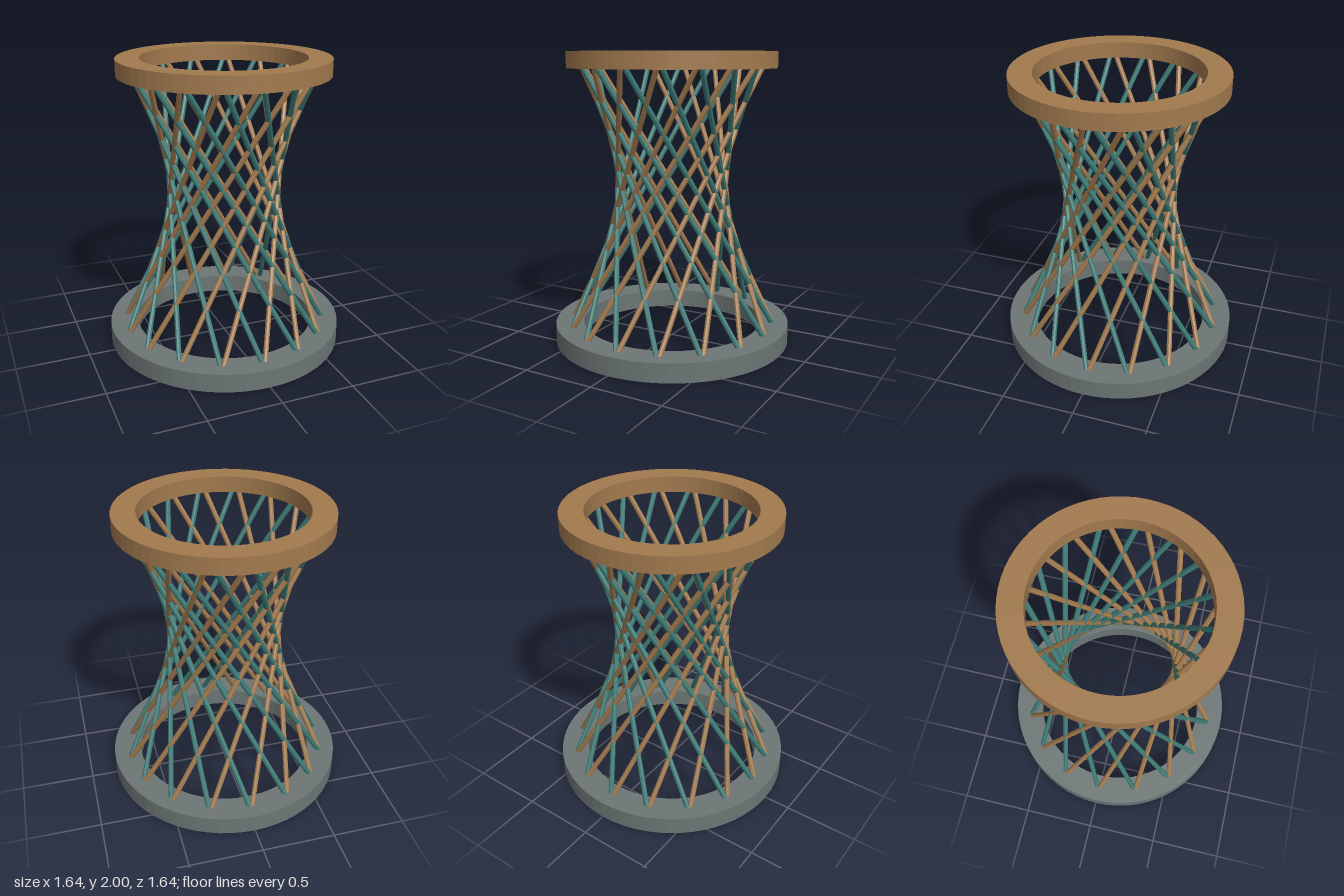
import * as THREE from 'three';

export function createModel() {
  const model = new THREE.Group();
  model.name = 'latticeStool';

  const mat = (name, color) => {
    const m = new THREE.MeshStandardMaterial({ color, flatShading: true });
    m.name = name;
    return m;
  };
  const wood = mat('warm wood', 0xa27a4e);
  const teal = mat('dark teal', 0x3c7974);
  const stone = mat('slate grey', 0x6c7575);

  // Flat ring with a rectangular cross-section
  function ring(name, inner, outer, y0, y1, material) {
    const profile = [[inner, y0], [outer, y0], [outer, y1], [inner, y1], [inner, y0]]
      .map(([r, y]) => new THREE.Vector2(r, y));
    const mesh = new THREE.Mesh(new THREE.LatheGeometry(profile, 64), material);
    mesh.name = name;
    model.add(mesh);
  }
  ring('baseRing', 0.625, 0.82, 0, 0.13, stone);
  ring('topRing', 0.55, 0.707, 1.89, 2, wood);

  // Straight rods twisted both ways between the rings form the waisted lattice
  const COUNT = 16;
  const STEP = (Math.PI * 2) / COUNT;
  const TWIST = STEP * 5;
  const ROD = 0.018;
  const UP = new THREE.Vector3(0, 1, 0);
  const onCircle = (r, a, y) => new THREE.Vector3(r * Math.sin(a), y, r * Math.cos(a));

  function rods(name, direction, material) {
    const group = new THREE.Group();
    group.name = name;
    for (let i = 0; i < COUNT; i++) {
      const a = i * STEP;
      const foot = onCircle(0.725, a, 0.09);
      const head = onCircle(0.63, a + direction * TWIST, 1.945);
      const span = head.clone().sub(foot);
      const rod = new THREE.Mesh(new THREE.CylinderGeometry(ROD, ROD, span.length(), 8), material);
      rod.name = 'rod';
      rod.position.copy(foot).add(head).multiplyScalar(0.5);
      rod.quaternion.setFromUnitVectors(UP, span.normalize());
      group.add(rod);
    }
    model.add(group);
  }
  rods('rightTwistRods', 1, wood);
  rods('leftTwistRods', -1, teal);

  return model;
}
